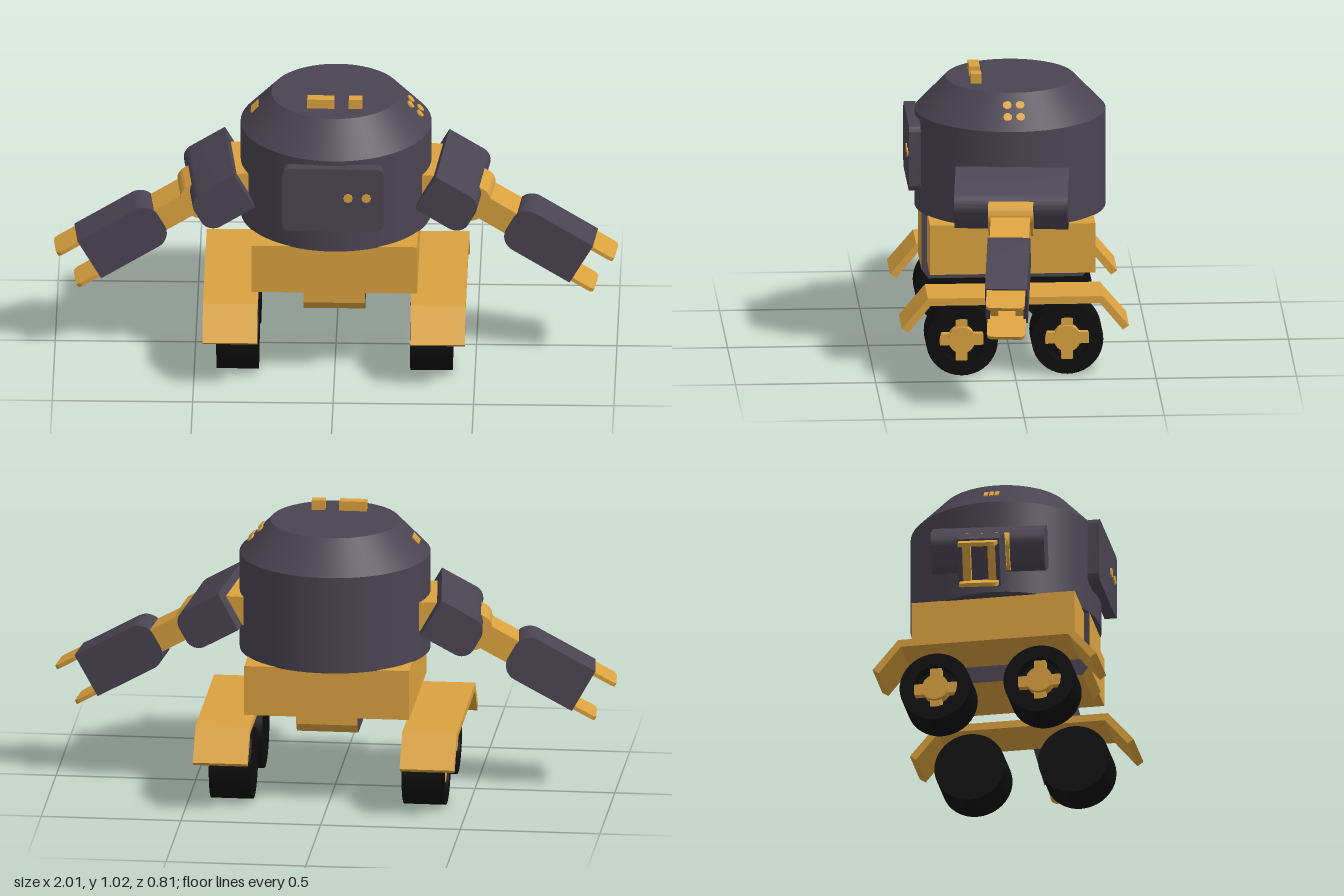
import * as THREE from 'three';
import { toCreasedNormals } from 'three/addons/utils/BufferGeometryUtils.js';

const mat = (name, color) => {
  const m = new THREE.MeshStandardMaterial({ color });
  m.name = name;
  return m;
};

export function createModel() {
  const gold = mat('gold paint', 0xdba23f);
  const dark = mat('dark grey', 0x4a4451);
  const black = mat('black rubber', 0x0e0e0e);
  const root = new THREE.Group();
  root.name = 'wheeledRobot';

  const add = (parent, name, geo, material, x = 0, y = 0, z = 0) => {
    const m = new THREE.Mesh(geo, material);
    m.name = name;
    m.position.set(x, y, z);
    parent.add(m);
    return m;
  };
  const group = (parent, name) => {
    const g = new THREE.Group();
    g.name = name;
    parent.add(g);
    return g;
  };
  // box given by its limits
  const box = (parent, name, material, [x0, x1], [y0, y1], [z0, z1]) =>
    add(parent, name, new THREE.BoxGeometry(x1 - x0, y1 - y0, z1 - z0), material,
      (x0 + x1) / 2, (y0 + y1) / 2, (z0 + z1) / 2);
  const polygon = (pts) => new THREE.Shape(pts.map(([x, y]) => new THREE.Vector2(x, y)));
  // shape extruded evenly about z = 0
  const extrude = (shape, depth) => toCreasedNormals(
    new THREE.ExtrudeGeometry(shape, { depth, bevelEnabled: false, curveSegments: 8 })
      .translate(0, 0, -depth / 2), 0.6);
  // profile drawn as (z, y), extruded along x
  const sideExtrude = (pts, width) =>
    extrude(polygon(pts.map(([z, y]) => [-z, y])), width).rotateY(Math.PI / 2);
  // rectangle with chosen corner radii at its left and right ends
  const roundRect = (w, h, left, right) => {
    const s = new THREE.Shape(), a = w / 2, b = h / 2;
    s.moveTo(-a + left, -b);
    s.lineTo(a - right, -b);
    if (right) s.absarc(a - right, -b + right, right, -Math.PI / 2, 0);
    s.lineTo(a, b - right);
    if (right) s.absarc(a - right, b - right, right, 0, Math.PI / 2);
    s.lineTo(-a + left, b);
    if (left) s.absarc(-a + left, b - left, left, Math.PI / 2, Math.PI);
    s.lineTo(-a, -b + left);
    if (left) s.absarc(-a + left, -b + left, left, Math.PI, Math.PI * 1.5);
    return s;
  };

  // Drum body with sloped top
  const body = group(root, 'body');
  body.position.z = -0.007;
  add(body, 'drum', new THREE.CylinderGeometry(0.34, 0.34, 0.355, 64), dark, 0, 0.6975);
  add(body, 'slopedTop', new THREE.CylinderGeometry(0.23, 0.34, 0.115, 64), dark, 0, 0.9325);

  // Chest plate and its two lights
  add(root, 'chestPlate', extrude(roundRect(0.36, 0.242, 0.025, 0.025), 0.042), dark, -0.004, 0.736, 0.342);
  for (const x of [0.05, 0.115])
    add(root, 'chestLight', new THREE.CylinderGeometry(0.017, 0.017, 0.006, 8).rotateX(Math.PI / 2),
      gold, x, 0.745, 0.365);

  // Roof blocks
  box(root, 'roofBlockWide', gold, [-0.1, -0.003], [0.98, 1.025], [0.1, 0.138]);
  box(root, 'roofBlockSmall', gold, [0.048, 0.096], [0.98, 1.025], [0.1, 0.138]);

  // Small studs and vents lying on the sloped top
  const slope = Math.atan2(0.11, 0.115);
  for (const y of [0.918, 0.953]) for (const z of [0.018, -0.028]) {
    const stud = add(root, 'stud', new THREE.CylinderGeometry(0.016, 0.016, 0.008, 10), gold,
      0.34 - (y - 0.875) * 0.957, y, z);
    stud.rotation.z = slope - Math.PI / 2;
  }
  for (const z of [-0.027, -0.007, 0.013]) {
    const vent = add(root, 'vent', new THREE.BoxGeometry(0.035, 0.008, 0.014), gold, -0.289, 0.928, z);
    vent.rotation.z = Math.PI / 2 - slope;
  }

  // Chassis and the strap that wraps under it
  box(root, 'chassis', gold, [-0.295, 0.295], [0.34, 0.522], [-0.295, 0.295]);
  const strap = [[0.315, 0.522], [0.315, 0.31], [0.29, 0.277], [-0.26, 0.277], [-0.285, 0.31], [-0.285, 0.522]];
  const strapGeo = new THREE.ExtrudeGeometry(polygon(strap.map(([z, y]) => [-z, y])),
    { depth: 0.22, bevelEnabled: false }).translate(0, 0, -0.11).rotateY(Math.PI / 2);
  add(root, 'underStrap', strapGeo, [dark, gold]);

  // Fenders and wheels on each side
  const fender = [[0.312, 0.3], [0.405, 0.19], [0.383, 0.175], [0.302, 0.273]];
  const fenderPts = [...fender, ...fender.map(([z, y]) => [-z, y]).reverse()];
  const fenderGeo = sideExtrude(fenderPts, 0.195);
  const tyrePts = [[0, -0.075], [0.128, -0.075], [0.128, 0.075], [0.08, 0.075], [0.08, 0.03], [0, 0.03]]
    .map(([r, y]) => new THREE.Vector2(r, y));
  const tyreGeo = toCreasedNormals(new THREE.LatheGeometry(tyrePts, 40).rotateZ(-Math.PI / 2), 0.6);
  const hubGeo = new THREE.CylinderGeometry(0.048, 0.048, 0.05, 24).rotateZ(-Math.PI / 2);
  const spokeGeo = new THREE.BoxGeometry(0.03, 0.05, 0.042).translate(0, 0.053, 0);
  for (const side of [1, -1]) {
    add(root, 'fender', fenderGeo, gold, side * 0.37, 0, 0);
    for (const z of [0.188, -0.188]) {
      const wheel = group(root, 'wheel');
      wheel.position.set(side * 0.345, 0.13, z);
      if (side < 0) wheel.rotation.y = Math.PI;
      add(wheel, 'tyre', tyreGeo, black);
      add(wheel, 'hub', hubGeo, gold, 0.045);
      for (let i = 0; i < 4; i++)
        add(wheel, 'spoke', spokeGeo, gold, 0.042).rotation.x = i * Math.PI / 2;
    }
  }

  // Arms: local x runs from the shoulder to the fingertips
  const shoulderGeo = extrude(roundRect(0.19, 0.15, 0, 0.05), 0.405);
  const jointGeo = extrude(roundRect(0.12, 0.135, 0, 0.045), 0.16);
  const forearmGeo = extrude(roundRect(0.235, 0.17, 0.06, 0), 0.15);
  const cuff = polygon([[-0.075, -0.085], [0.075, -0.085], [0.075, 0.085], [-0.075, 0.085]]);
  cuff.holes.push(polygon([[-0.06, -0.068], [-0.06, 0.068], [0.06, 0.068], [0.06, -0.068]]));
  const cuffGeo = extrude(cuff, 0.06).rotateY(Math.PI / 2);
  const fingerGeo = extrude(roundRect(0.13, 0.138, 0, 0.02), 0.014).rotateX(Math.PI / 2);
  for (const side of [1, -1]) {
    const arm = group(root, side > 0 ? 'leftArm' : 'rightArm');
    arm.position.set(side * 0.425, 0.645, 0.01);
    arm.rotation.y = side > 0 ? -0.1 : Math.PI + 0.1;
    box(arm, 'shoulderMount', gold, [-0.18, -0.04], [-0.02, 0.085], [-0.135, 0.135]);
    const limb = group(arm, 'limb');
    limb.rotation.z = -0.518;
    add(limb, 'shoulder', shoulderGeo, dark);
    add(limb, 'shoulderJoint', jointGeo, gold, 0.075);
    box(limb, 'upperArm', gold, [0.05, 0.3], [-0.045, 0.045], [-0.07, 0.07]);
    add(limb, 'forearm', forearmGeo, dark, 0.3525);
    add(limb, 'cuff', cuffGeo, dark, 0.5);
    for (const s of [1, -1]) {
      add(limb, 'finger', fingerGeo, gold, 0.555, s * 0.072);
      box(limb, 'gripBar', gold, [0.46, 0.515], [-0.07, 0.07], [s * 0.045 - 0.014, s * 0.045 + 0.014]);
    }
  }
  return root;
}
